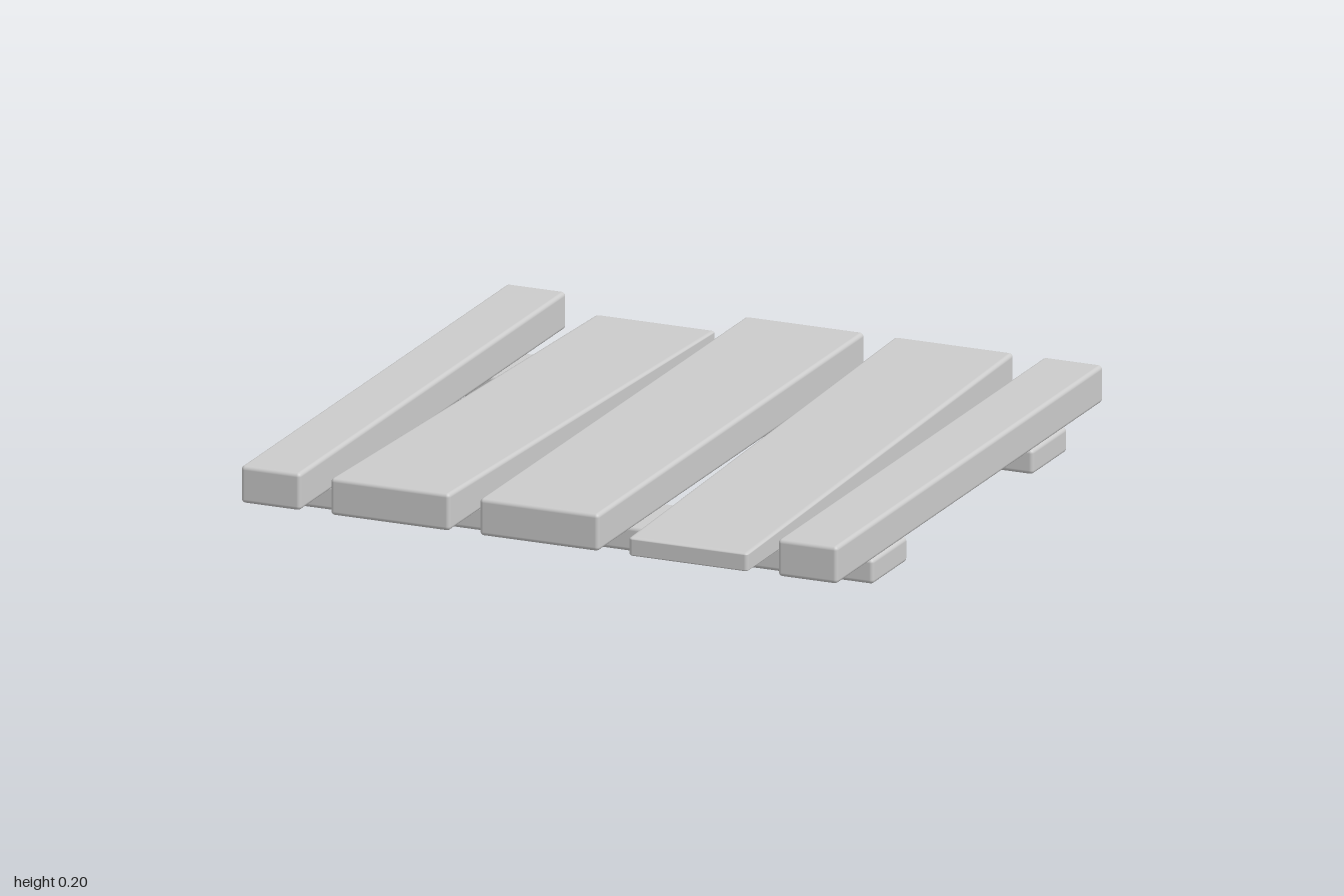
import * as THREE from 'three';
import { RoundedBoxGeometry } from 'three/addons/geometries/RoundedBoxGeometry.js';

const BASE = 0.08;    // runner height, where the planks rest
const THICK = 0.12;   // plank thickness
const material = new THREE.MeshStandardMaterial({ color: 0xcccccc });

// Rounded board, with its underside at y = 0
function board(w, h, d) {
  return new RoundedBoxGeometry(w, h, d, 3, 0.013).translate(0, h / 2, 0);
}

// Thin the board evenly to half its height towards the end given by dir (+1 front, -1 back)
function taper(geometry, dir) {
  const p = geometry.attributes.position, n = geometry.attributes.normal;
  const v = new THREE.Vector3();
  for (let i = 0; i < p.count; i++) {
    const y = p.getY(i), s = 0.75 - 0.25 * dir * p.getZ(i);
    v.fromBufferAttribute(n, i);
    v.set(v.x, v.y / s, v.z + (v.y * y * 0.25 * dir) / s).normalize();
    n.setXYZ(i, v.x, v.y, v.z);
    p.setY(i, y * s);
  }
  return geometry;
}

export function createModel() {
  const group = new THREE.Group();
  group.name = 'plankPlatform';
  const add = (name, geometry, x, y, z) => {
    const mesh = new THREE.Mesh(geometry, material);
    mesh.name = name;
    mesh.position.set(x, y, z);
    group.add(mesh);
  };

  // Two runners across the underside
  add('frontRunner', board(2, BASE, 0.26), 0, 0, 0.6);
  add('backRunner', board(2, BASE, 0.26), 0, 0, -0.6);

  // Centre plank
  add('centrePlank', board(0.4, THICK, 2), 0, BASE, 0);

  // Wedge planks taper in opposite directions; narrow planks close the sides
  for (const side of [-1, 1]) {
    const label = side > 0 ? 'left' : 'right';
    add(label + 'WedgePlank', taper(board(0.4, THICK, 2), side), side * 0.5, BASE, 0);
    add(label + 'EdgePlank', board(0.2, THICK, 2), side * 0.9, BASE, 0);
  }
  return group;
}
